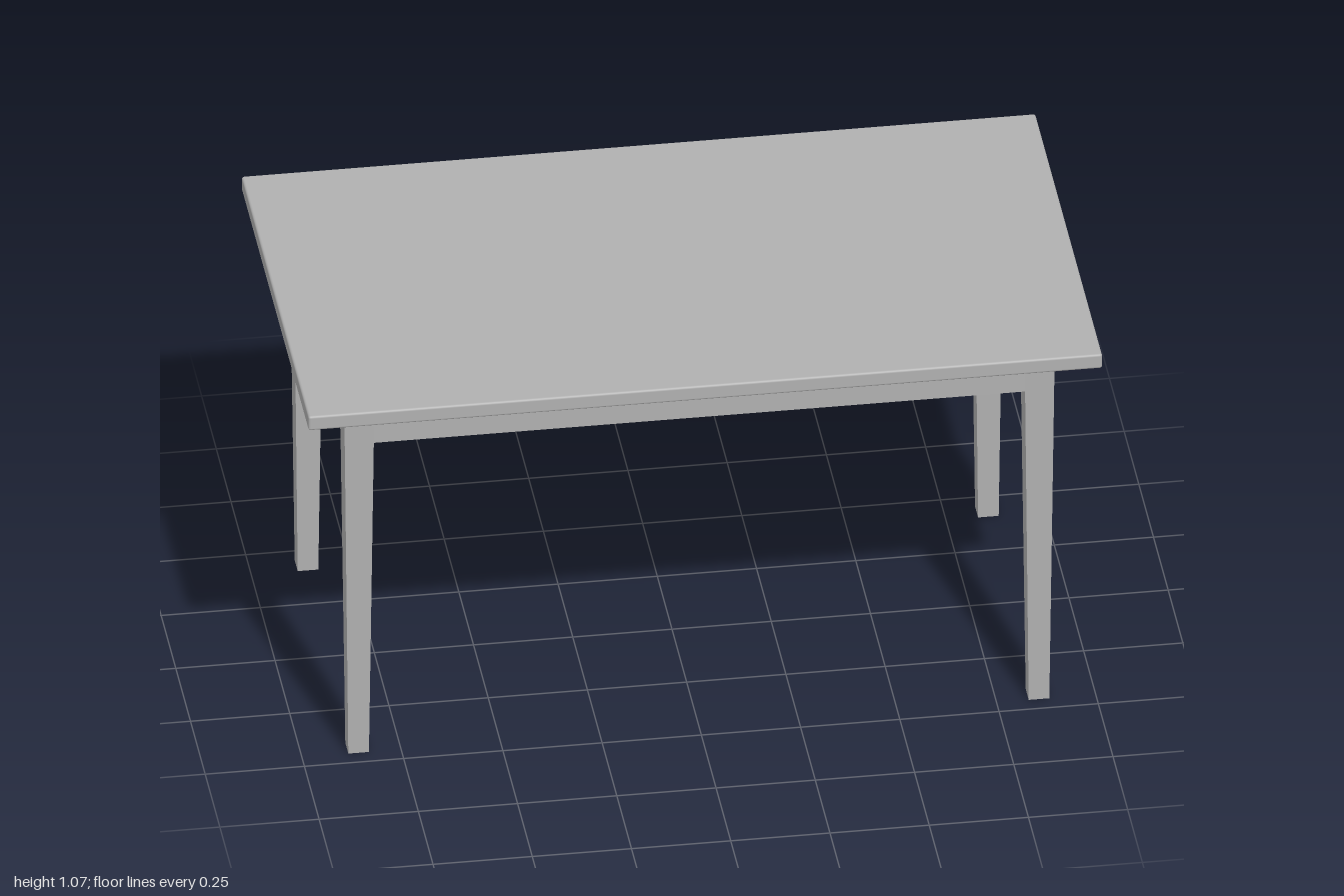
import * as THREE from 'three';
import { RoundedBoxGeometry } from 'three/addons/geometries/RoundedBoxGeometry.js';

const TOP_Y = 1.072, UNDER_Y = 1.031, APRON_Y = 0.916;
const LEG_X = 0.857, LEG_Z = 0.431;
const APRON_X = 0.8936, APRON_Z = 0.4676, APRON_T = 0.03;

export function createModel() {
  const table = new THREE.Group();
  table.name = 'table';
  const grey = new THREE.MeshStandardMaterial({ color: 0xb0b0b0 });
  grey.name = 'plain grey';

  const add = (name, geometry, x, y, z) => {
    const mesh = new THREE.Mesh(geometry, grey);
    mesh.name = name;
    mesh.position.set(x, y, z);
    table.add(mesh);
  };

  // Slab with slightly softened edges
  const slab = new RoundedBoxGeometry(2, TOP_Y - UNDER_Y, 1.14, 2, 0.006);
  add('tabletop', slab, 0, (TOP_Y + UNDER_Y) / 2, 0);

  // Square leg, tapering towards the foot on all four sides
  const legGeometry = () => {
    const geometry = new THREE.BoxGeometry(0.052, UNDER_Y, 0.052);
    const p = geometry.attributes.position;
    for (let i = 0; i < p.count; i++) {
      if (p.getY(i) > 0) p.setXYZ(i, p.getX(i) * 1.46, p.getY(i), p.getZ(i) * 1.46);
    }
    geometry.computeVertexNormals();
    return geometry;
  };
  for (const [side, sx] of [['left', 1], ['right', -1]]) {
    for (const [end, sz] of [['Front', 1], ['Back', -1]]) {
      add(`${side}${end}Leg`, legGeometry(), sx * LEG_X, UNDER_Y / 2, sz * LEG_Z);
    }
  }

  // Apron rails, running almost flush with the outside of the legs
  const h = UNDER_Y - APRON_Y, y = (UNDER_Y + APRON_Y) / 2;
  for (const [name, s] of [['front', 1], ['back', -1]]) {
    add(`${name}Apron`, new THREE.BoxGeometry(APRON_X * 2, h, APRON_T), 0, y, s * (APRON_Z - APRON_T / 2));
  }
  for (const [name, s] of [['left', 1], ['right', -1]]) {
    const length = (APRON_Z - APRON_T) * 2;
    add(`${name}Apron`, new THREE.BoxGeometry(APRON_T, h, length), s * (APRON_X - APRON_T / 2), y, 0);
  }
  return table;
}
